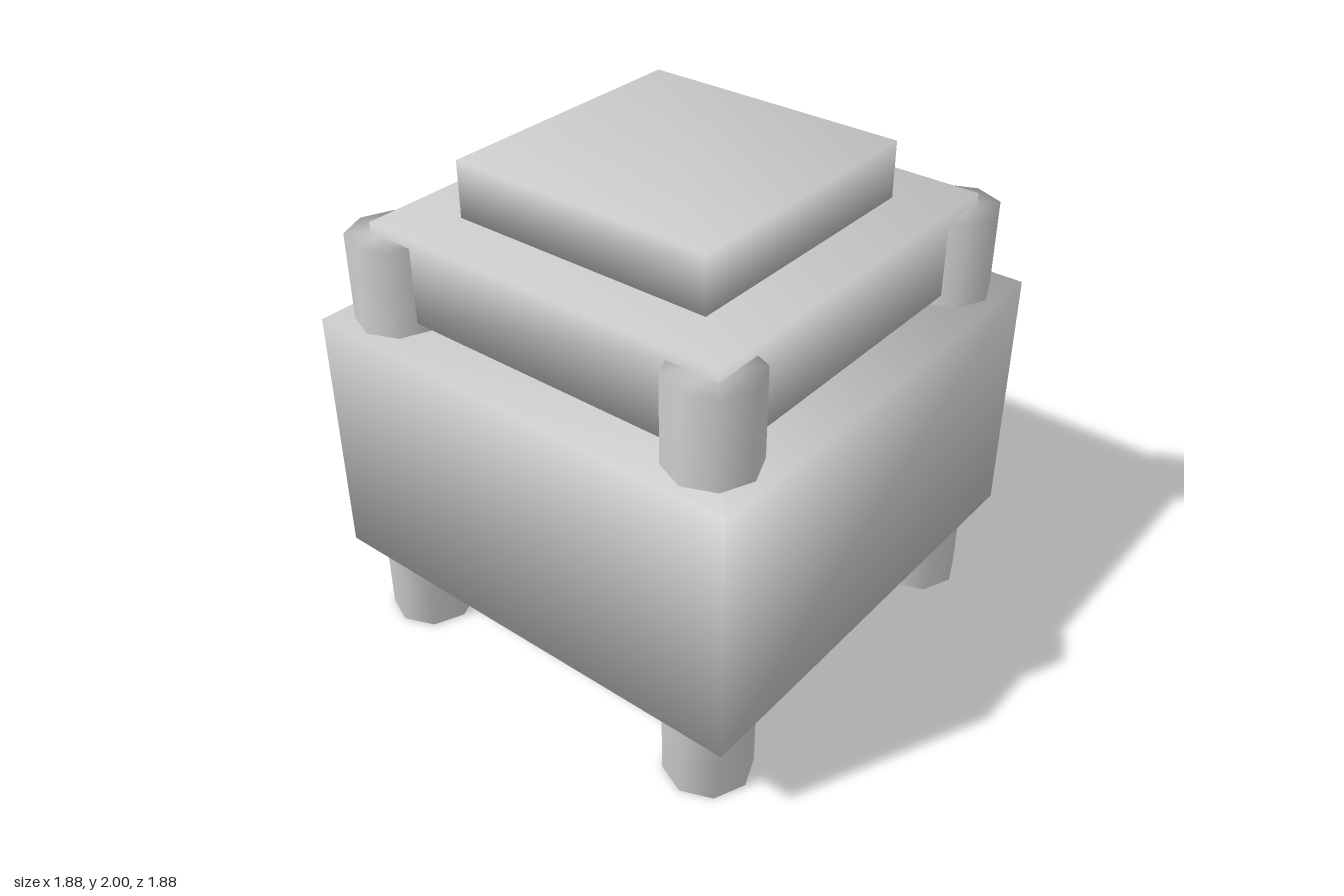
import * as THREE from 'three';
import { mergeVertices } from 'three/addons/utils/BufferGeometryUtils.js';

export function createModel() {
  const group = new THREE.Group();
  const material = new THREE.MeshStandardMaterial({ color: 0xcccccc });

  // Weld the corners so shading runs smoothly over every edge
  function smooth(geometry) {
    geometry.deleteAttribute('normal');
    geometry.deleteAttribute('uv');
    const welded = mergeVertices(geometry, 1e-4);
    welded.computeVertexNormals();
    return welded;
  }

  function add(name, geometry, x, y, z) {
    const mesh = new THREE.Mesh(smooth(geometry), material);
    mesh.name = name;
    mesh.position.set(x, y, z);
    group.add(mesh);
  }

  // Square block between two heights
  function block(name, width, bottom, top) {
    add(name, new THREE.BoxGeometry(width, top - bottom, width), 0, (bottom + top) / 2, 0);
  }

  block('body', 1.884, 0.348, 1.386);
  block('upperSlab', 1.578, 1.43, 1.775);
  block('topBlock', 1.116, 1.775, 2);

  // Eight-sided corner posts running from the ground up through the body
  const postHeight = 1.735;
  for (const [side, x] of [['left', 0.73], ['right', -0.735]]) {
    for (const [end, z] of [['Front', 0.73], ['Back', -0.735]]) {
      add(`${side}${end}Post`, new THREE.CylinderGeometry(0.172, 0.172, postHeight, 8), x, postHeight / 2, z);
    }
  }

  return group;
}
